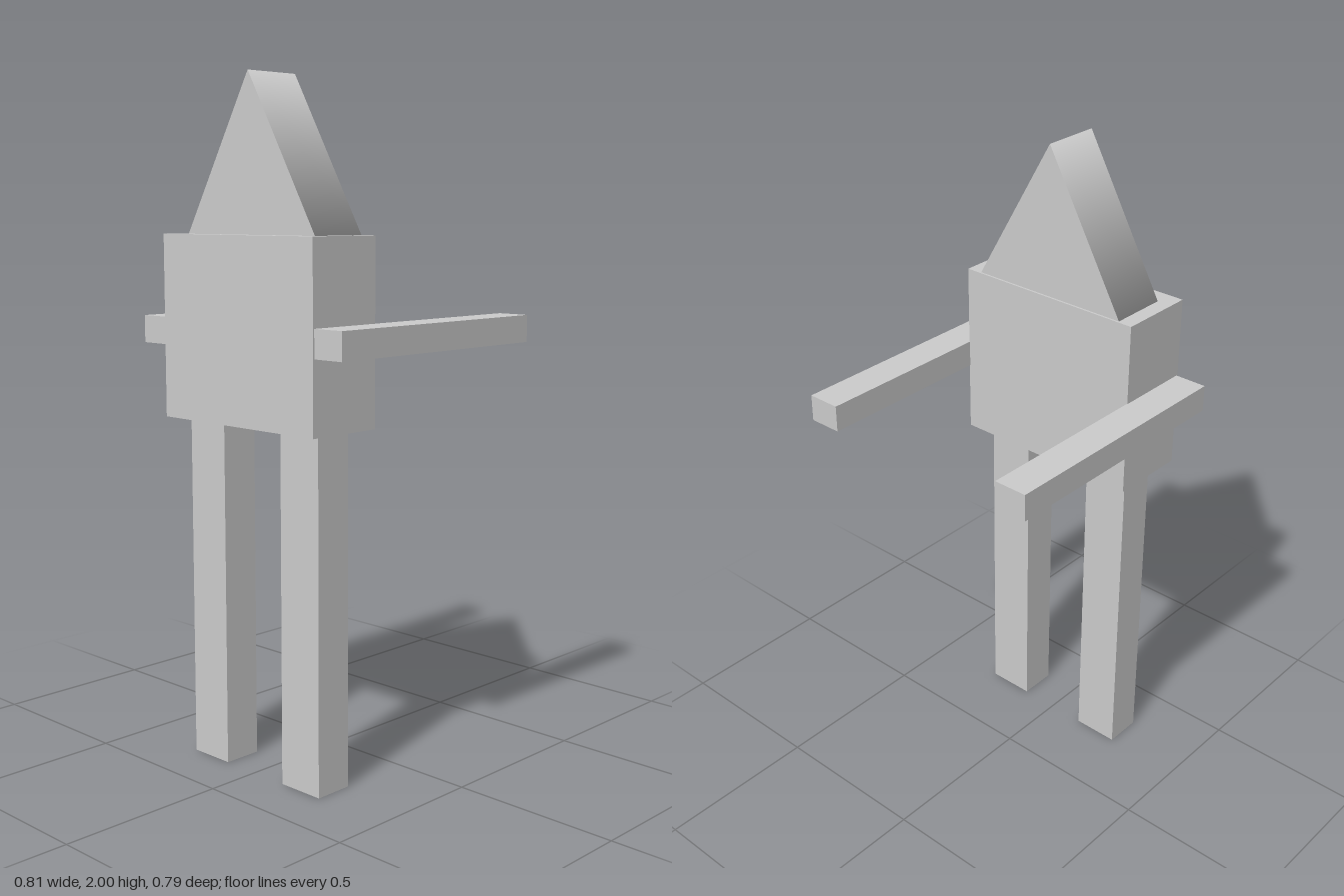
import * as THREE from 'three';

const material = new THREE.MeshStandardMaterial({ color: 0xcccccc });

// Box given by its [min, max] range on each axis
function box(name, [x0, x1], [y0, y1], [z0, z1]) {
  const mesh = new THREE.Mesh(new THREE.BoxGeometry(x1 - x0, y1 - y0, z1 - z0), material);
  mesh.position.set((x0 + x1) / 2, (y0 + y1) / 2, (z0 + z1) / 2);
  mesh.name = name;
  return mesh;
}

export function createModel() {
  const model = new THREE.Group();
  model.name = 'figure';

  // Torso
  model.add(box('torso', [-0.303, 0.303], [1.026, 1.556], [0.157, 0.397]));

  // Legs
  model.add(box('leftLeg', [0.117, 0.264], [0, 1.026], [0.222, 0.339]));
  model.add(box('rightLeg', [-0.26, -0.116], [0, 1.026], [0.222, 0.339]));

  // Arms reaching backwards
  model.add(box('leftArm', [0.301, 0.403], [1.237, 1.317], [-0.397, 0.392]));
  model.add(box('rightArm', [-0.403, -0.301], [1.237, 1.317], [-0.397, 0.392]));

  // Head: three-sided smooth-shaded prism, point up
  const radius = 0.296;
  const headGeometry = new THREE.CylinderGeometry(radius, radius, 0.179, 3);
  headGeometry.rotateX(-Math.PI / 2);
  const head = new THREE.Mesh(headGeometry, material);
  head.position.set(0, 2 - radius, 0.2525);
  head.name = 'head';
  model.add(head);

  return model;
}
